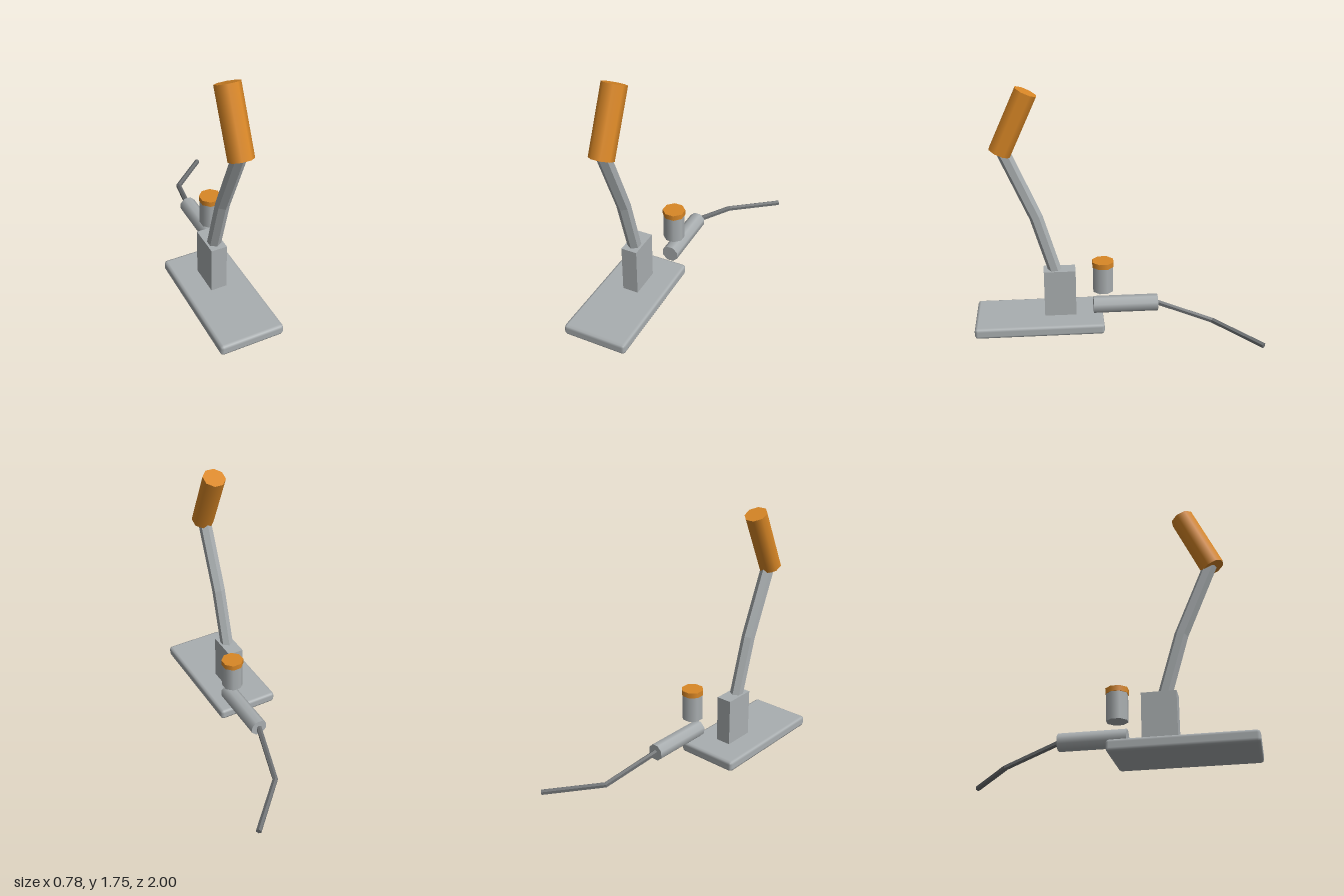
import * as THREE from 'three';
import { RoundedBoxGeometry } from 'three/addons/geometries/RoundedBoxGeometry.js';

const mat = (name, color) => new THREE.MeshStandardMaterial({ name, color });

// Flat-shaded hexagonal bar along a bent path, with mitred joints and end caps
function hexBar(points, radius) {
  const path = points.map(p => new THREE.Vector3(...p));
  const up = new THREE.Vector3(0, 1, 0);
  const n = 6, positions = [], index = [];
  path.forEach((p, i) => {
    const before = path[Math.max(i - 1, 0)], after = path[Math.min(i + 1, path.length - 1)];
    const d1 = p.clone().sub(before).normalize(), d2 = after.clone().sub(p).normalize();
    const t = d1.add(d2).normalize();
    const u = up.clone().cross(t).normalize();
    const v = t.clone().cross(u);
    for (let k = 0; k < n; k++) {
      const a = Math.PI / 2 + k * Math.PI * 2 / n;
      const q = p.clone().addScaledVector(u, radius * Math.cos(a)).addScaledVector(v, radius * Math.sin(a));
      positions.push(q.x, q.y, q.z);
    }
    if (i === 0) return;
    for (let k = 0; k < n; k++) {
      const a = (i - 1) * n + k, b = (i - 1) * n + (k + 1) % n;
      index.push(a, b, b + n, a, b + n, a + n);
    }
  });
  const last = (path.length - 1) * n;
  for (let k = 1; k < n - 1; k++) {
    index.push(0, k + 1, k, last, last + k, last + k + 1);
  }
  const indexed = new THREE.BufferGeometry();
  indexed.setAttribute('position', new THREE.Float32BufferAttribute(positions, 3));
  indexed.setIndex(index);
  const geometry = indexed.toNonIndexed();
  geometry.computeVertexNormals();
  return geometry;
}

// Smooth eight-sided cylinder with flats facing the axes, sized by its half width
function octagon(halfWidth, height) {
  const r = halfWidth / Math.cos(Math.PI / 8);
  return new THREE.CylinderGeometry(r, r, height, 8, 1, false, Math.PI / 8);
}

export function createModel() {
  const group = new THREE.Group();
  const steel = mat('steel', 0xa9aeb0);
  const darkSteel = mat('darkSteel', 0x6c6f71);
  const orange = mat('orange', 0xd98726);

  const add = (name, geometry, material, x = 0, y = 0, z = 0) => {
    const mesh = new THREE.Mesh(geometry, material);
    mesh.name = name;
    mesh.position.set(x, y, z);
    group.add(mesh);
    return mesh;
  };

  // Base plate and lever mount
  add('basePlate', new RoundedBoxGeometry(0.456, 0.078, 0.919, 1, 0.022), steel, -0.164, 0.038, 0.543);
  add('leverMount', new THREE.BoxGeometry(0.113, 0.36, 0.226), steel, -0.163, 0.243, 0.392);

  // Bent lever with its grip
  add('lever', hexBar([[-0.163, 0.38, 0.414], [-0.163, 0.825, 0.545], [-0.163, 1.32, 0.757]], 0.047), steel);
  const grip = add('leverGrip', octagon(0.075, 0.457), orange, -0.163, 1.508, 0.679);
  grip.rotation.x = -0.433;

  // Upright push button
  add('buttonBody', octagon(0.069, 0.19), steel, -0.029, 0.405, 0.09);
  add('buttonCap', octagon(0.073, 0.038), orange, -0.029, 0.518, 0.09);

  // Horizontal cylinder with a bent rod at the back
  const cylinder = add('cylinder', octagon(0.056, 0.458), steel, -0.029, 0.195, -0.071);
  cylinder.rotation.x = Math.PI / 2;
  add('rod', hexBar([[-0.033, 0.199, -0.28], [0.067, 0.08, -0.685], [0.372, 0.038, -0.987]], 0.02), darkSteel);

  return group;
}
